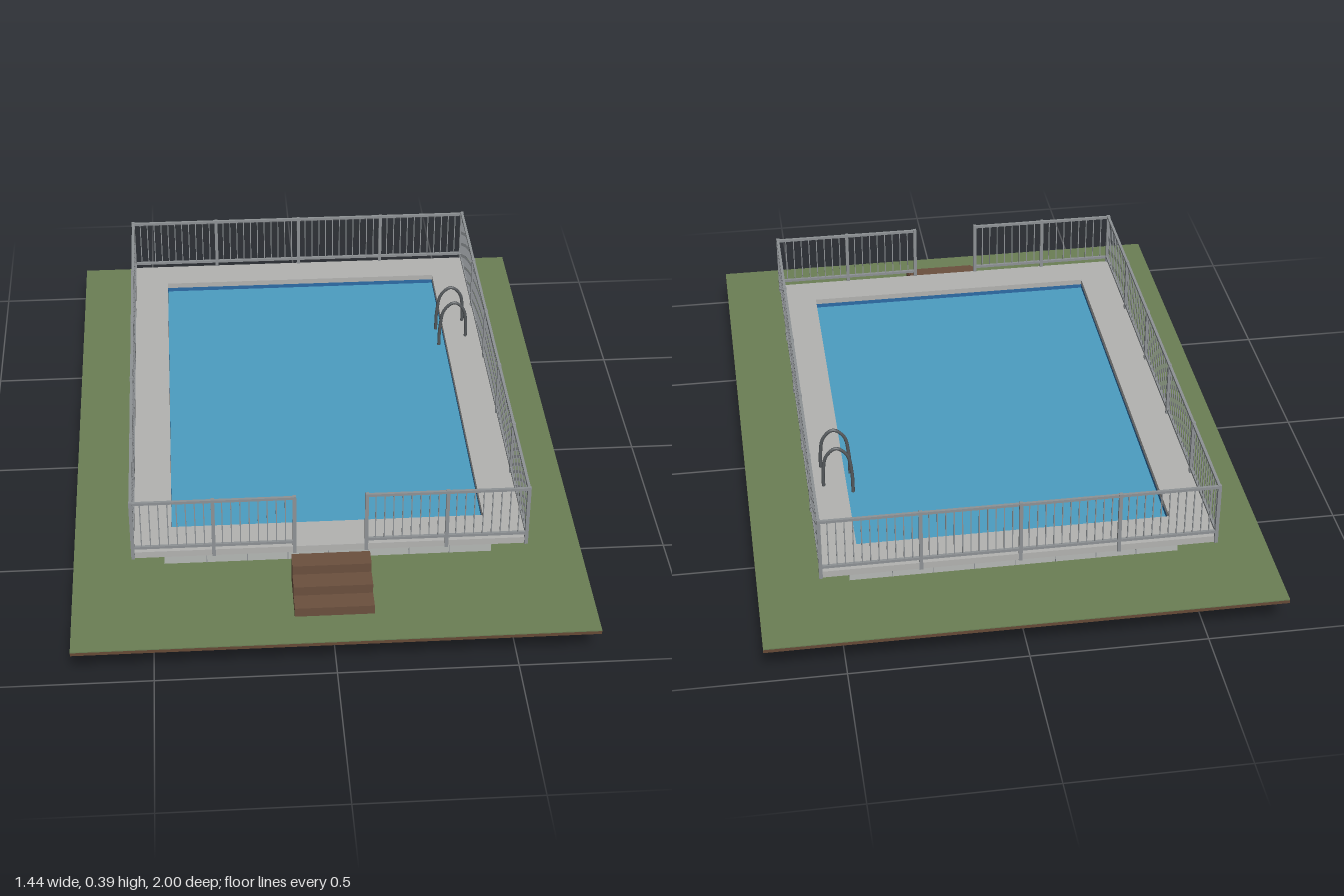
import * as THREE from 'three';

const mat = (name, color) => Object.assign(new THREE.MeshStandardMaterial({ color }), { name });

export function createModel() {
  const model = new THREE.Group();
  model.name = 'raisedPool';
  const grass = mat('grass green', 0x6b7f55);
  const soil = mat('soil brown', 0x664a36);
  const blue = mat('pool liner blue', 0x2d6ca6);
  const water = mat('water blue', 0x4c9dc1);
  const deckGrey = mat('deck grey', 0xb3b3b1);
  const wallGrey = mat('wall grey', 0xb5b8b5);
  const railGrey = mat('rail grey', 0x8e9295);
  const steel = mat('dark steel', 0x55595c);
  const wood = mat('step brown', 0x6b503e);

  const add = (name, geometry, material, parent = model) => {
    const mesh = new THREE.Mesh(geometry, material);
    mesh.name = name;
    parent.add(mesh);
    return mesh;
  };
  // Box given by its lower and upper corners
  const box = (name, material, [x0, y0, z0], [x1, y1, z1], parent) => {
    const g = new THREE.BoxGeometry(x1 - x0, y1 - y0, z1 - z0);
    g.translate((x0 + x1) / 2, (y0 + y1) / 2, (z0 + z1) / 2);
    return add(name, g, material, parent);
  };
  const group = (name) => {
    const g = new THREE.Group();
    g.name = name;
    model.add(g);
    return g;
  };
  // Rectangles are [half width, back z, front z]
  const outline = (S, [x, z0, z1]) => new S([[-x, -z1], [x, -z1], [x, -z0], [-x, -z0]].map((p) => new THREE.Vector2(...p)));
  const frame = (name, material, outer, inner, y0, y1) => {
    const shape = outline(THREE.Shape, outer);
    shape.holes.push(outline(THREE.Path, inner));
    const g = new THREE.ExtrudeGeometry(shape, { depth: y1 - y0, bevelEnabled: false });
    g.rotateX(-Math.PI / 2).translate(0, y0, 0);
    return add(name, g, material);
  };
  const rod = (name, material, a, b, radius, parent) => {
    const curve = new THREE.LineCurve3(new THREE.Vector3(...a), new THREE.Vector3(...b));
    return add(name, new THREE.TubeGeometry(curve, 1, radius, 8), material, parent);
  };

  // Ground slab and lawn
  const pool = [0.443, -0.72, 0.607];
  const plot = [0.722, -1, 1];
  frame('groundSlab', soil, plot, pool, 0.1, 0.11);
  frame('lawn', grass, plot, pool, 0.11, 0.113);

  // Basin and water
  box('basin', blue, [-0.443, 0, -0.72], [0.443, 0.186, 0.607]);
  box('waterSurface', water, [-0.441, 0.186, -0.718], [0.441, 0.19, 0.605]);
  frame('linerEdge', blue, pool, [0.441, -0.718, 0.605], 0.18, 0.203);

  // Surrounding wall and deck
  frame('wall', wallGrey, [0.465, -0.74, 0.635], pool, 0.11, 0.201);
  frame('deck', deckGrey, [0.55, -0.827, 0.714], [0.441, -0.718, 0.605], 0.2, 0.22);

  // Panel joints on the end walls
  const joints = group('wallJoints');
  for (const z of [-0.74, 0.635]) {
    for (let i = -3; i <= 3; i++) {
      box('joint', railGrey, [i * 0.115 - 0.001, 0.112, z - 0.001], [i * 0.115 + 0.001, 0.2, z + 0.001], joints);
    }
  }

  // Diagonal braces under the deck
  const braces = group('deckBraces');
  for (let i = 0; i < 7; i++) {
    const z = 0.602 - i * 0.218;
    for (const s of [-1, 1]) rod('brace', steel, [s * 0.463, 0.168, z], [s * 0.51, 0.203, z], 0.004, braces);
  }
  for (let i = -2; i <= 2; i++) {
    const x = i * 0.2165;
    rod('brace', steel, [x, 0.168, 0.633], [x, 0.203, 0.68], 0.004, braces);
    rod('brace', steel, [x, 0.168, -0.738], [x, 0.203, -0.785], 0.004, braces);
  }

  // Railing: posts, two rails and thin balusters along each run
  const railing = group('railing');
  const post = (x, z) => box('post', railGrey, [x - 0.005, 0.2, z - 0.005], [x + 0.005, 0.394, z + 0.005], railing);
  const run = (x0, z0, x1, z1, spans, bars) => {
    const rx = x0 === x1 ? 0.004 : 0;
    const rz = 0.004 - rx;
    for (const [name, y] of [['topRail', 0.388], ['bottomRail', 0.237]]) {
      box(name, railGrey, [Math.min(x0, x1) - rx, y - 0.004, Math.min(z0, z1) - rz],
        [Math.max(x0, x1) + rx, y + 0.004, Math.max(z0, z1) + rz], railing);
    }
    const n = spans * bars;
    for (let i = 0; i <= n; i++) {
      const x = x0 + (x1 - x0) * i / n;
      const z = z0 + (z1 - z0) * i / n;
      if (i % bars === 0) post(x, z);
      else box('baluster', railGrey, [x - 0.0015, 0.237, z - 0.0015], [x + 0.0015, 0.388, z + 0.0015], railing);
    }
  };
  for (const s of [-1, 1]) {
    run(s * 0.549, 0.714, s * 0.549, -0.827, 5, 13);
    run(s * 0.549, 0.714, s * 0.1, 0.714, 2, 9);
  }
  run(-0.549, -0.827, 0.549, -0.827, 4, 12);

  // Pair of arched grab rails at the pool edge
  const ladder = group('grabRails');
  for (const z of [-0.43, -0.337]) {
    const points = [[0.422, 0.19], [0.424, 0.26], [0.436, 0.32], [0.467, 0.345], [0.496, 0.32], [0.506, 0.26], [0.506, 0.21]];
    const curve = new THREE.CatmullRomCurve3(points.map(([x, y]) => new THREE.Vector3(x, y, z)));
    add('grabRail', new THREE.TubeGeometry(curve, 32, 0.005, 8), steel, ladder);
  }

  // Entry steps
  const steps = group('steps');
  for (let i = 0; i < 3; i++) {
    box('step', wood, [-0.11, 0.112 + i * 0.029, 0.722], [0.11, 0.141 + i * 0.029, 0.89 - i * 0.056], steps);
  }
  return model;
}
